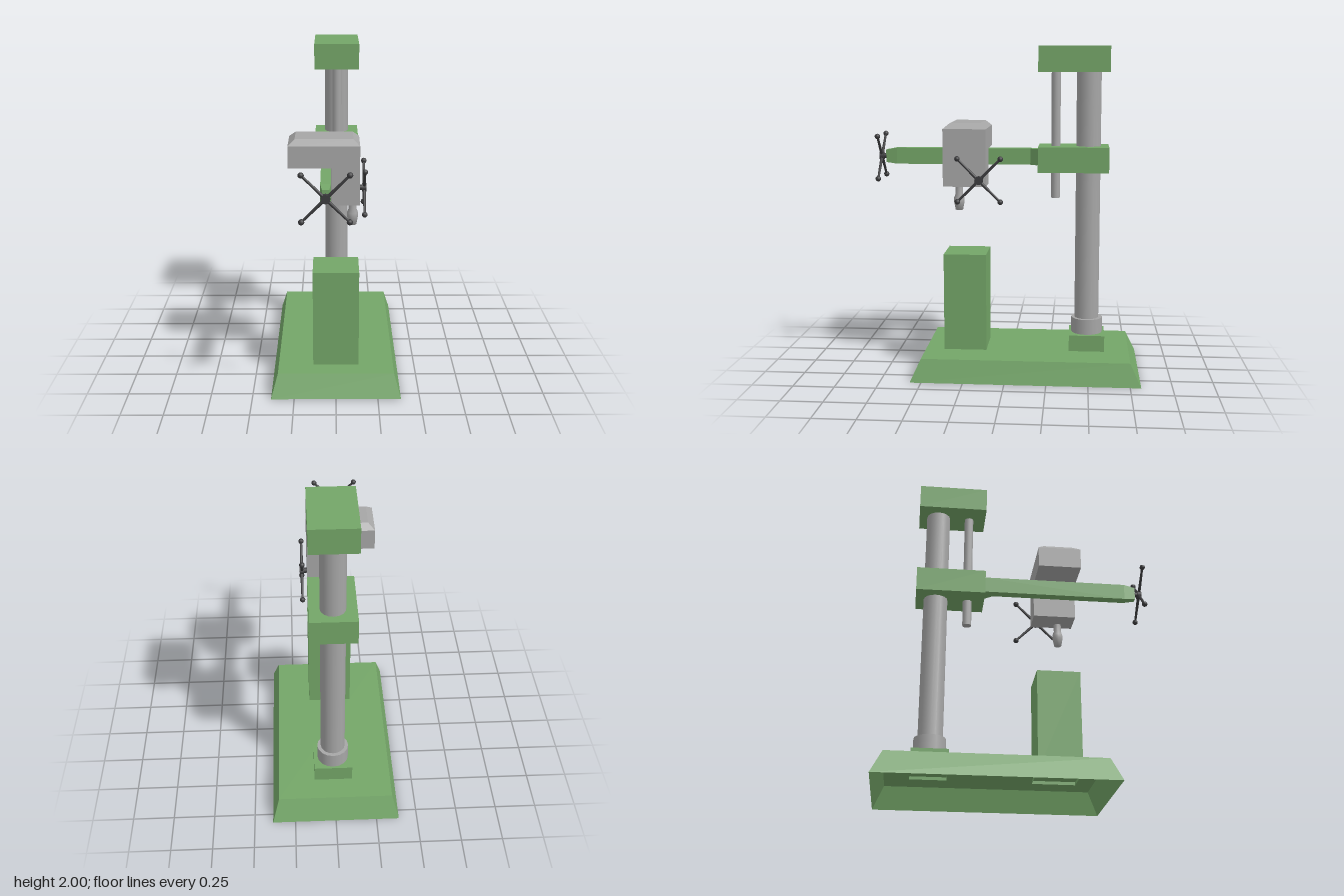
import * as THREE from 'three';

const green = new THREE.MeshStandardMaterial({ color: 0x74a668, side: THREE.DoubleSide });
green.name = 'green paint';
const grey = new THREE.MeshStandardMaterial({ color: 0xa6a6a6 });
grey.name = 'grey metal';
const dark = new THREE.MeshStandardMaterial({ color: 0x3c3c3e });
dark.name = 'dark steel';

function add(parent, name, geometry, material, x = 0, y = 0, z = 0) {
  const mesh = new THREE.Mesh(geometry, material);
  mesh.name = name;
  mesh.position.set(x, y, z);
  parent.add(mesh);
  return mesh;
}

// Four-sided loft between two rectangles [x0, x1, z0, z1] at heights y0 and y1, open below
function loft(lower, upper, y0, y1) {
  const ring = ([x0, x1, z0, z1], y) => [[x0, y, z1], [x1, y, z1], [x1, y, z0], [x0, y, z0]];
  const a = ring(lower, y0), b = ring(upper, y1), out = [];
  const quad = (p, q, r, s) => out.push(...p, ...q, ...r, ...p, ...r, ...s);
  for (let i = 0; i < 4; i++) {
    const j = (i + 1) % 4;
    quad(a[i], a[j], b[j], b[i]);
  }
  quad(...b);
  const geometry = new THREE.BufferGeometry();
  geometry.setAttribute('position', new THREE.Float32BufferAttribute(out, 3));
  geometry.computeVertexNormals();
  return geometry;
}

function box(parent, name, material, [x0, x1], [y0, y1], [z0, z1]) {
  return add(parent, name, new THREE.BoxGeometry(x1 - x0, y1 - y0, z1 - z0), material,
    (x0 + x1) / 2, (y0 + y1) / 2, (z0 + z1) / 2);
}

function rod(parent, name, material, r, y0, y1, x, z, sides = 16) {
  return add(parent, name, new THREE.CylinderGeometry(r, r, y1 - y0, sides), material, x, (y0 + y1) / 2, z);
}

function extrude(points, depth) {
  const shape = new THREE.Shape(points.map(([x, y]) => new THREE.Vector2(x, y)));
  return new THREE.ExtrudeGeometry(shape, { depth, bevelEnabled: false });
}

// Four-spoke hand wheel facing +z, with its shaft running back
function handWheel(name) {
  const wheel = new THREE.Group();
  wheel.name = name;
  add(wheel, 'hub', new THREE.CylinderGeometry(0.026, 0.026, 0.026, 12).rotateX(Math.PI / 2), dark);
  add(wheel, 'shaft', new THREE.CylinderGeometry(0.016, 0.016, 0.04, 12).rotateX(Math.PI / 2), dark, 0, 0, -0.02);
  for (let i = 0; i < 4; i++) {
    const spoke = new THREE.Group();
    spoke.name = 'spoke';
    spoke.rotation.z = Math.PI / 4 + i * Math.PI / 2;
    add(spoke, 'spokeRod', new THREE.CylinderGeometry(0.007, 0.01, 0.18, 8), dark, 0, 0.09, 0);
    add(spoke, 'spokeKnob', new THREE.SphereGeometry(0.017, 12, 8), dark, 0, 0.184, 0);
    wheel.add(spoke);
  }
  return wheel;
}

export function createModel() {
  const model = new THREE.Group();
  model.name = 'radialDrill';

  // Hollow base plate, work table and column foot
  add(model, 'base', loft([-0.388, 0.388, -0.815, 0.568], [-0.348, 0.348, -0.75, 0.505], 0, 0.137), green);
  const table = [-0.138, 0.138, 0.128, 0.39], foot = [-0.11, 0.125, -0.6, -0.382];
  add(model, 'workTable', loft(table, table, 0.118, 0.738), green);
  add(model, 'columnFoot', loft(foot, foot, 0.118, 0.236), green);

  // Column and lifting screw
  rod(model, 'columnCollar', grey, 0.096, 0.236, 0.33, 0.007, -0.491);
  rod(model, 'column', grey, 0.0745, 0.32, 1.86, 0.007, -0.489);
  rod(model, 'liftingScrew', grey, 0.028, 1.08, 1.86, 0.008, -0.29, 12);
  box(model, 'topCap', green, [-0.13, 0.144], [1.847, 2], [-0.613, -0.186]);
  box(model, 'armCarriage', green, [-0.13, 0.144], [1.247, 1.4], [-0.613, -0.186]);

  // Arm with a flared root and a tapered tip
  const armOutline = [[-0.086, -0.19], [0.018, -0.19], [-0.028, -0.132], [-0.028, 0.7], [-0.086, 0.7]];
  add(model, 'arm', extrude(armOutline, 0.1).rotateX(Math.PI / 2), green, 0, 1.377, 0);
  const tip = loft([-0.086, -0.028, -1.377, -1.277], [-0.076, -0.037, -1.364, -1.286], 0.7, 0.77);
  add(model, 'armTip', tip.rotateX(Math.PI / 2), green);

  // Drill head: L-shaped body with a chamfered cap
  const headOutline = [[-0.275, 1.377], [-0.026, 1.377], [-0.026, 1.157], [0.138, 1.157], [0.138, 1.506], [-0.275, 1.506]];
  add(model, 'drillHead', extrude(headOutline, 0.262), grey, 0, 0, 0.128);
  add(model, 'headCap', loft([-0.275, 0.138, 0.128, 0.39], [-0.235, 0.1, 0.165, 0.35], 1.506, 1.54), grey);

  // Spindle and chuck
  const chuck = [[0, 1.012], [0.023, 1.012], [0.032, 1.06], [0.032, 1.085], [0.023, 1.11], [0.023, 1.16]];
  add(model, 'chuck', new THREE.LatheGeometry(chuck.map(([r, y]) => new THREE.Vector2(r, y)), 12), grey, 0.098, 0, 0.295);

  // Hand wheels on the arm tip and the side of the head
  const armWheel = handWheel('armWheel');
  armWheel.position.set(-0.057, 1.324, 0.8);
  const feedWheel = handWheel('feedWheel');
  feedWheel.position.set(0.17, 1.2, 0.168);
  feedWheel.rotation.y = Math.PI / 2;
  model.add(armWheel, feedWheel);

  return model;
}
